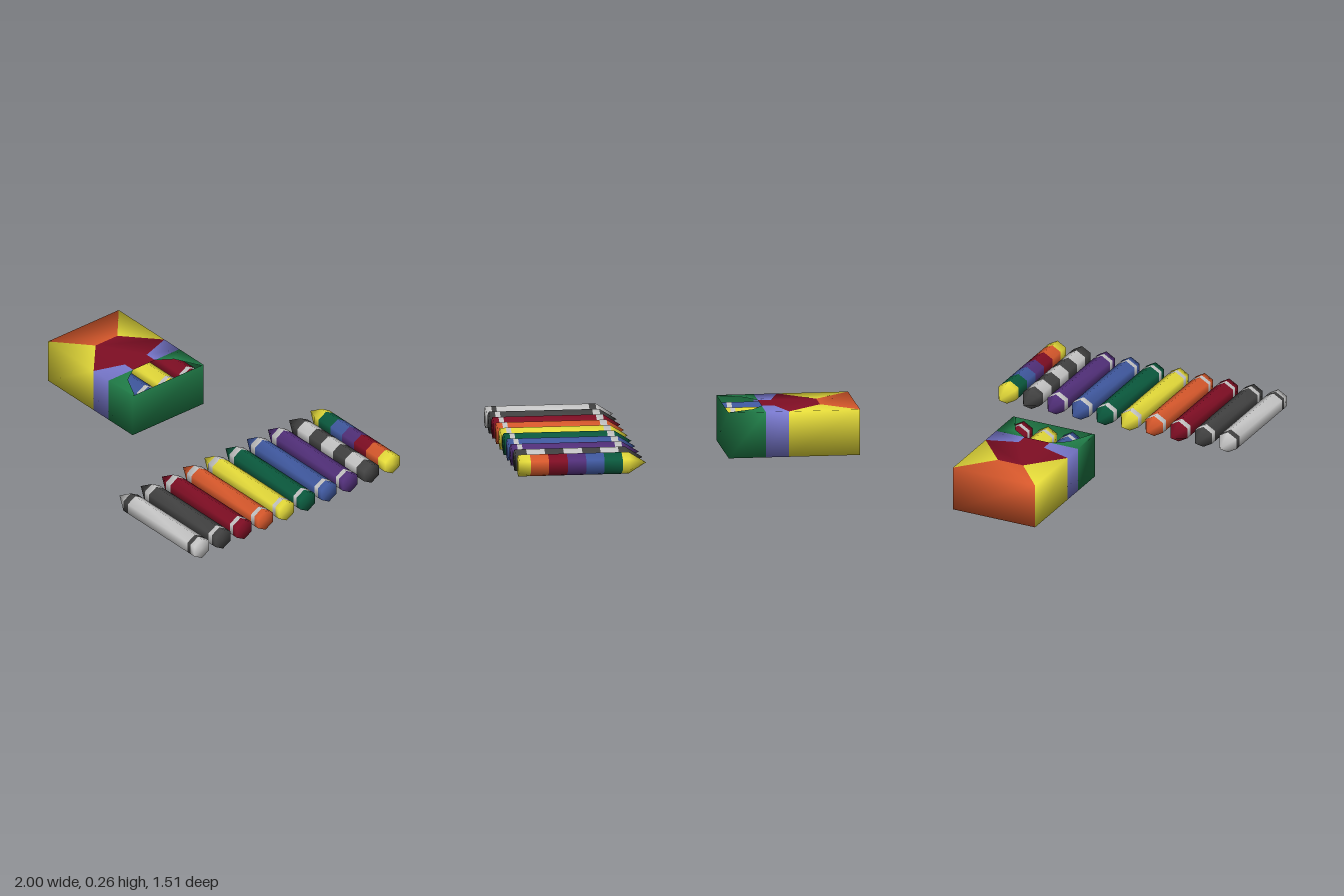
import * as THREE from 'three';
import { mergeGeometries, mergeVertices } from 'three/addons/utils/BufferGeometryUtils.js';

const COLORS = {
  yellow: 0xe6dc3a, orange: 0xd9592c, red: 0x800e24, periwinkle: 0x7a7ad0, boxGreen: 0x21804a,
  green: 0x0b5a3e, blue: 0x4059a0, purple: 0x52307a, charcoal: 0x424242, white: 0xc8c8c8,
};

export function createModel() {
  const mats = {};
  for (const [name, color] of Object.entries(COLORS)) {
    mats[name] = new THREE.MeshStandardMaterial({ color, side: THREE.DoubleSide });
    mats[name].name = name;
  }
  const model = new THREE.Group();

  // Indexed geometry from points and triangles
  const fromPoints = (points, index) => {
    const g = new THREE.BufferGeometry();
    g.setAttribute('position', new THREE.Float32BufferAttribute(points.flat(), 3));
    g.setIndex(index);
    return g;
  };

  // One smooth mesh from a list of [geometry, colour name]
  const smoothMesh = (name, parts) => {
    for (const [g] of parts) {
      g.deleteAttribute('normal');
      g.deleteAttribute('uv');
    }
    const geo = mergeVertices(mergeGeometries(parts.map(p => p[0]), true), 1e-4);
    geo.computeVertexNormals();
    const mesh = new THREE.Mesh(geo, parts.map(p => mats[p[1]]));
    mesh.name = name;
    return mesh;
  };

  // Six-sided crayon along x: tip at 0, flat end at 0.73
  const R = 0.0625, SIDES = 6;
  const ring = (x, r) => Array.from({ length: SIDES }, (_, i) => {
    const a = i / SIDES * Math.PI * 2;
    return [x, r * Math.cos(a), r * Math.sin(a)];
  });
  const crayon = (name, stops, colors) => {
    const rings = stops.map((x, i) => ring(x, i === 0 ? 0 : R));
    rings.push(ring(stops[stops.length - 1], 0));
    const parts = [];
    for (let i = 0; i < rings.length - 1; i++) {
      const index = [];
      for (let j = 0; j < SIDES; j++) {
        const k = (j + 1) % SIDES;
        index.push(j, k, SIDES + k, j, SIDES + k, SIDES + j);
      }
      parts.push([fromPoints([...rings[i], ...rings[i + 1]], index), colors[Math.min(i, colors.length - 1)]]);
    }
    return smoothMesh(name, parts);
  };
  const BANDED = [0, 0.1, 0.14, 0.668, 0.696, 0.73];
  const STRIPED = [0, 0.1, 0.14, 0.243, 0.347, 0.453, 0.56, 0.664, 0.73];
  const banded = (c, band = 'white') => crayon(c + 'Crayon', BANDED, [c, band, c, band, c]);
  const striped = (name, colors) => crayon(name, STRIPED, [colors[0], ...colors]);

  // Row of ten loose crayons
  const row = [
    striped('rainbowCrayon', ['yellow', 'green', 'blue', 'purple', 'red', 'orange', 'yellow']),
    striped('stripedCrayon', ['charcoal', 'white', 'charcoal', 'white', 'charcoal', 'white', 'charcoal']),
    ...['purple', 'blue', 'green', 'yellow', 'orange', 'red', 'charcoal'].map(c => banded(c)),
    banded('white', 'charcoal'),
  ];
  row.forEach((c, i) => {
    c.position.set(0.27, R, -0.705 + i * 0.1558);
    model.add(c);
  });

  // Crayons packed in the box, in two staggered layers
  ['red', 'orange', 'yellow', 'green', 'blue', 'purple'].forEach((c, i) => {
    const packed = banded(c);
    packed.name = c + 'PackedCrayon';
    packed.position.set(-0.983, i % 2 ? 0.09 : 0.185, -0.281 + i * 0.0775);
    model.add(packed);
  });

  // Box walls and floor, in bands of colour along x
  const H = 0.262, Z0 = -0.35, Z1 = 0.17, ZC = -0.09;
  const quad = (...p) => fromPoints(p, [0, 1, 2, 0, 2, 3]);
  const xs = [-1, -0.595, -0.462, -0.25];
  const box = [
    [quad([-1, 0, Z0], [-1, 0, Z1], [-1, H, Z1], [-1, H, Z0]), 'orange'],
    [quad([-0.25, 0, Z1], [-0.25, 0, Z0], [-0.25, H, Z0], [-0.25, H, Z1]), 'boxGreen'],
  ];
  ['yellow', 'periwinkle', 'boxGreen'].forEach((c, i) => {
    const a = xs[i], b = xs[i + 1];
    box.push([quad([a, 0, Z1], [b, 0, Z1], [b, H, Z1], [a, H, Z1]), c]);
    box.push([quad([b, 0, Z0], [a, 0, Z0], [a, H, Z0], [b, H, Z0]), c]);
    box.push([quad([a, 0, Z0], [b, 0, Z0], [b, 0, Z1], [a, 0, Z1]), c]);
  });

  // Box top: faceted colour panels around an opening at the +x end
  const panel = (points, color) => {
    const shape = new THREE.Shape(points.map(([x, z]) => new THREE.Vector2(x, -z)));
    box.push([new THREE.ShapeGeometry(shape).rotateX(-Math.PI / 2).translate(0, H, 0), color]);
  };
  const mirror = points => points.map(([x, z]) => [x, 2 * ZC - z]);
  const redHalf = [[-0.795, -0.17], [-0.595, Z0], [-0.535, -0.17], [-0.462, -0.17]];
  panel([...redHalf, ...mirror(redHalf).reverse()], 'red');
  panel([[-1, Z0], [-0.795, -0.17], [-0.795, -0.01], [-1, Z1]], 'orange');
  const sidePanels = [
    [[[-1, Z0], [-0.595, Z0], [-0.795, -0.17]], 'yellow'],
    [[[-0.595, Z0], [-0.462, Z0], [-0.462, -0.17], [-0.535, -0.17]], 'periwinkle'],
    [[[-0.462, Z0], [-0.25, Z0], [-0.25, -0.335], [-0.4, -0.26], [-0.462, -0.17]], 'boxGreen'],
  ];
  for (const [points, color] of sidePanels) {
    panel(points, color);
    panel(mirror(points), color);
  }
  model.add(smoothMesh('crayonBox', box));
  return model;
}
